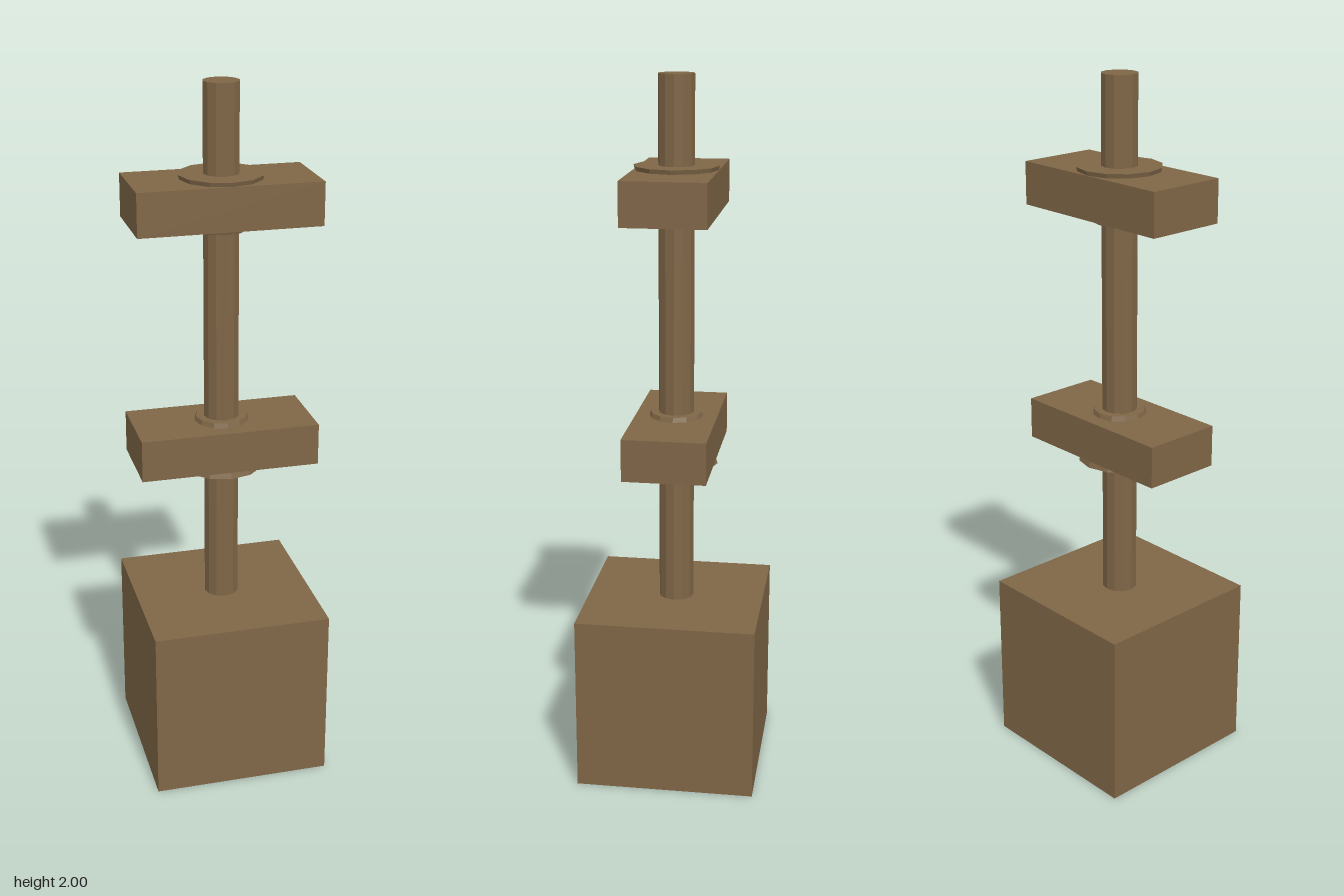
import * as THREE from 'three';

export function createModel() {
  const group = new THREE.Group();
  const wood = new THREE.MeshStandardMaterial({ color: 0x7f6647, flatShading: true });
  wood.name = 'brown wood';

  const add = (name, geometry, y) => {
    const mesh = new THREE.Mesh(geometry, wood);
    mesh.name = name;
    mesh.position.y = y;
    group.add(mesh);
  };
  const box = (name, w, d, y0, y1) =>
    add(name, new THREE.BoxGeometry(w, y1 - y0, d), (y0 + y1) / 2);
  const round = (name, rTop, rBottom, y0, y1) =>
    add(name, new THREE.CylinderGeometry(rTop, rBottom, y1 - y0, 12), (y0 + y1) / 2);

  // Cube foot and the twelve-sided pole standing on it
  box('base', 0.508, 0.508, 0, 0.507);
  round('pole', 0.05, 0.05, 0.507, 2);

  // Crossbars, each with a tapered collar passing through it
  box('lowerCrossbar', 0.506, 0.232, 0.935, 1.054);
  round('lowerCollar', 0.073, 0.118, 0.916, 1.067);
  box('upperCrossbar', 0.506, 0.232, 1.626, 1.746);
  round('upperCollar', 0.118, 0.073, 1.607, 1.758);

  return group;
}
